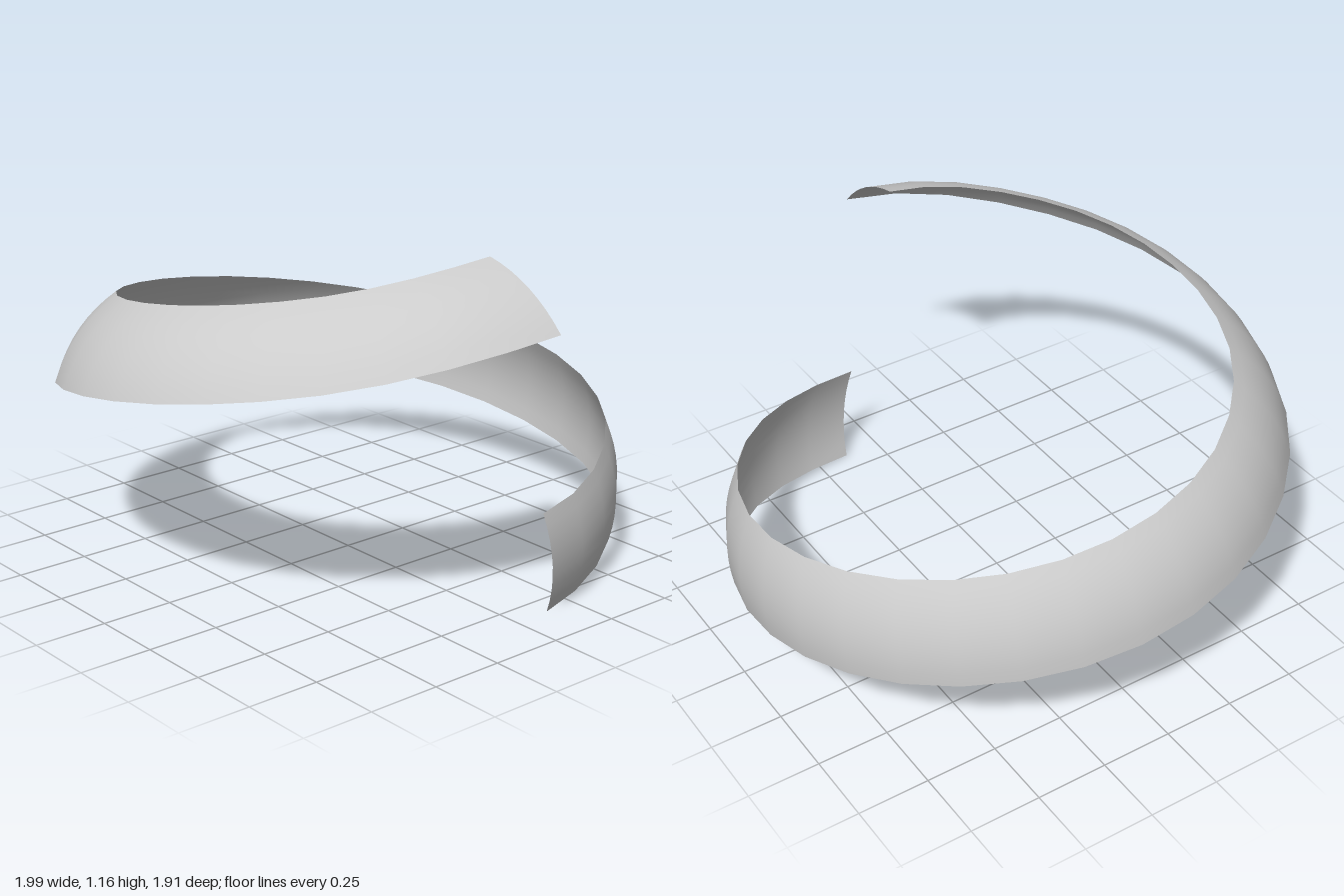
import * as THREE from 'three';

// Smooth curve through key values spaced evenly along the ribbon; each key is (radius, height)
const edge = (keys) => new THREE.SplineCurve(keys.map(([r, y]) => new THREE.Vector2(r, y)));

const lowerEdge = edge([
  [0.84, 0], [0.905, 0.105], [0.95, 0.22], [0.987, 0.35], [1.0, 0.475],
  [0.978, 0.605], [0.956, 0.735], [0.962, 0.86], [0.993, 0.985],
]);
const upperEdge = edge([
  [0.855, 0.355], [0.868, 0.46], [0.89, 0.568], [0.877, 0.68], [0.837, 0.79],
  [0.775, 0.893], [0.717, 0.99], [0.69, 1.08], [0.69, 1.165],
]);

const STEPS = 32; // segments along the turn
const ACROSS = 8; // segments across the band
const BULGE = 0.03; // outward bow of the cross-section

function ribbonGeometry() {
  const geometry = new THREE.PlaneGeometry(1, 1, ACROSS, STEPS);
  const pos = geometry.attributes.position;
  for (let i = 0; i <= STEPS; i++) {
    const t = i / STEPS;
    const low = lowerEdge.getPoint(t);
    const high = upperEdge.getPoint(t);
    const along = high.clone().sub(low).normalize();
    for (let j = 0; j <= ACROSS; j++) {
      const v = j / ACROSS;
      const bow = 4 * v * (1 - v) * BULGE;
      const r = THREE.MathUtils.lerp(low.x, high.x, v) + along.y * bow;
      const y = THREE.MathUtils.lerp(low.y, high.y, v) - along.x * bow;
      // One turn from the right, round the back; the first end is cut at a slight slant
      const start = THREE.MathUtils.lerp(9, 5.4, v);
      const end = THREE.MathUtils.lerp(359.2, 358.5, v);
      const a = THREE.MathUtils.degToRad(THREE.MathUtils.lerp(start, end, t));
      pos.setXYZ(i * (ACROSS + 1) + j, r * Math.cos(a), y, -r * Math.sin(a));
    }
  }
  geometry.computeVertexNormals();
  return geometry;
}

export function createModel() {
  const group = new THREE.Group();
  group.name = 'spiralBand';
  // Thin open band, twisting as it climbs
  const material = new THREE.MeshStandardMaterial({ color: 0xcccccc, side: THREE.DoubleSide });
  const ribbon = new THREE.Mesh(ribbonGeometry(), material);
  ribbon.name = 'spiralRibbon';
  group.add(ribbon);
  return group;
}
